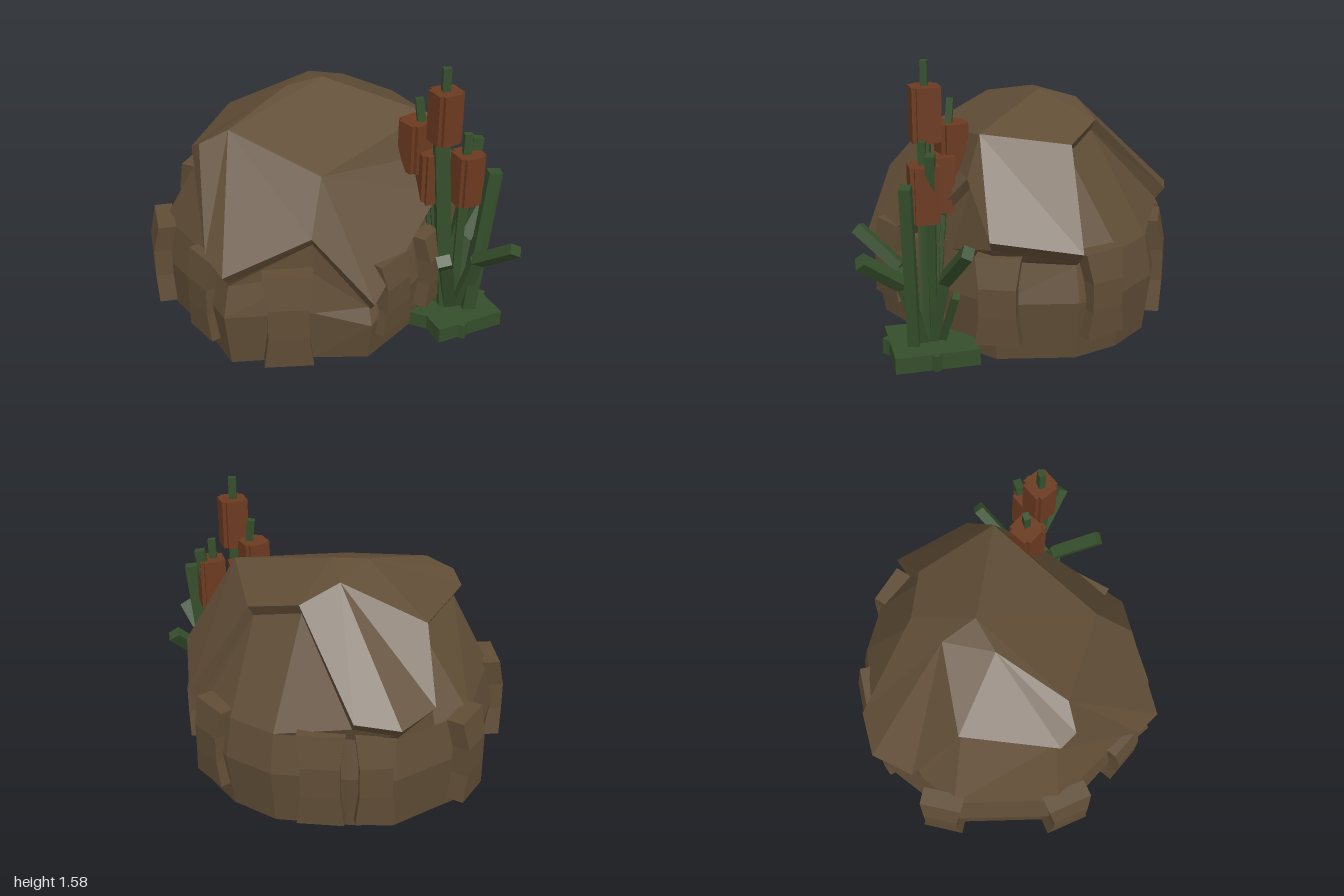
import * as THREE from 'three';

const mat = (name, color) => {
  const m = new THREE.MeshStandardMaterial({ color, flatShading: true, side: THREE.DoubleSide });
  m.name = name;
  return m;
};

export function createModel() {
  const rock = mat('rock brown', 0x604d36);
  const reed = mat('reed green', 0x354e2b);
  const rust = mat('cattail rust', 0x6b3a20);
  const root = new THREE.Group();
  root.name = 'boulderWithReeds';

  const add = (geometry, material, name, parent = root) => {
    const m = new THREE.Mesh(geometry, material);
    m.name = name;
    parent.add(m);
    return m;
  };
  // Triangles from polygons, each fanned from its first corner
  const fromPolys = (polys) => {
    const pos = [];
    for (const p of polys)
      for (let i = 1; i < p.length - 1; i++) pos.push(...p[0], ...p[i], ...p[i + 1]);
    const g = new THREE.BufferGeometry();
    g.setAttribute('position', new THREE.Float32BufferAttribute(pos, 3));
    g.computeVertexNormals();
    return g;
  };
  const band = (low, high) => low.map((p, i) => {
    const j = (i + 1) % low.length;
    return [p, low[j], high[j], high[i]];
  });

  // Zigzag rim of the upper shell, from front left round to the back
  const rim = [
    [-0.62, 0.60, 0.77], [-0.15, 0.80, 0.77], [0.17, 0.43, 0.88], [0.62, 0.80, 0.38],
    [0.66, 0.97, 0.23], [0.88, 0.70, 0.10], [0.82, 0.62, -0.38], [0.48, 1.11, -0.31],
    [0.20, 1.18, -0.44], [-0.08, 0.70, -0.86], [-0.33, 0.67, -0.88], [-0.52, 0.70, -0.70],
    [-0.49, 1.05, -0.40], [-0.73, 1.04, 0.10], [-0.70, 0.65, 0.62],
  ];
  const inner = rim.map(([x, y, z]) => [x * 0.94, y - 0.06, z * 0.94]);
  const A = [0.03, 1.315, -0.12], B = [-0.18, 1.29, -0.08], C = [-0.53, 1.18, 0.21];
  const D = [-0.07, 1.05, 0.56], E = [0.58, 1.19, 0.17];
  const F = [-0.69, 1.10, 0.20], G = [-0.02, 1.26, -0.33];
  const r = (...ids) => ids.map((i) => rim[i]);
  add(fromPolys([
    [A, B, C, D, E],
    [A, E, ...r(7, 8)],
    [B, ...r(12, 13), F, C],
    [G, ...r(8, 9, 10, 11, 12), B, A, rim[8]],
    [C, F, ...r(14, 0, 1), D],
    [F, ...r(13, 14)],
    [D, ...r(1, 2, 3, 4), E],
    [E, ...r(4, 5, 6, 7)],
    ...band(inner, rim),
  ]), rock, 'upperShell');

  // Lower body hangs from the inner rim, one column per rim point
  const foot = [
    [-0.62, 0.75], [-0.14, 0.77], [0.17, 0.81], [0.48, 0.53], [0.63, 0.34],
    [0.81, 0.08], [0.77, -0.36], [0.61, -0.59], [0.36, -0.76], [-0.06, -0.82],
    [-0.32, -0.83], [-0.55, -0.68], [-0.76, -0.55], [-0.95, 0.05], [-0.74, 0.45],
  ];
  const shoulder = foot.map(([x, z], i) => [x * 0.95, Math.min(0.56, inner[i][1] - 0.03), z * 0.95]);
  const bulge = foot.map(([x, z], i) => [x, Math.min(0.33, shoulder[i][1] - 0.1), z]);
  const base = foot.map(([x, z]) => [x * 0.95, 0, z * 0.95]);
  add(fromPolys([
    ...band(shoulder, inner), ...band(bulge, shoulder), ...band(base, bulge),
    [[0, 0, 0], ...[...base, base[0]].reverse()],
  ]), rock, 'lowerBody');

  // Waisted stone slabs bent over the lower body: x, z, bottom, top, width, outward x, outward z
  const slabs = [
    [-0.28, 0.79, 0.03, 0.60, 0.27, -0.06, 1],
    [-0.71, 0.53, 0.10, 0.60, 0.22, -0.85, 0.5],
    [-0.94, 0.10, 0.10, 0.60, 0.26, -1, 0.08],
    [-0.72, -0.60, 0.10, 0.60, 0.24, -0.8, -0.5],
    [-0.20, -0.80, 0.05, 0.60, 0.22, -0.1, -1],
    [0.09, -0.80, 0.05, 0.60, 0.26, 0.12, -1],
    [0.69, -0.48, 0.13, 0.60, 0.24, 0.75, -0.6],
    [0.82, 0.06, 0.12, 0.60, 0.24, 1, 0.1],
    [0.56, 0.47, 0.15, 0.60, 0.20, 0.75, 0.65],
    [0.30, 0.70, 0.16, 0.60, 0.24, 0.65, 0.75],
  ];
  const stones = new THREE.Group();
  stones.name = 'sideStones';
  root.add(stones);
  for (const [x, z, y0, y1, w, ox, oz] of slabs) {
    const g = new THREE.BoxGeometry(w, y1 - y0, 0.1, 1, 3, 1);
    const p = g.attributes.position;
    for (let i = 0; i < p.count; i++) {
      const t = (2 * p.getY(i)) / (y1 - y0);
      p.setX(i, p.getX(i) * (0.8 + 0.2 * t * t));
      p.setZ(i, p.getZ(i) - (t > 0.9 ? 0.035 : 0) - (t < -0.9 ? 0.01 : 0));
    }
    const m = add(g, rock, 'sideStone', stones);
    m.position.set(x, (y0 + y1) / 2, z);
    m.rotation.y = Math.atan2(ox, oz);
  }

  // Reed clump on its grassy pad of two crossed slabs
  const plant = new THREE.Group();
  plant.name = 'reeds';
  root.add(plant);
  [[0.71, 0.43, 0.41, 0.45, 0.3, 0.09], [0.69, 0.44, 0.38, 0.34, 1.0, 0.088]].forEach(([x, z, w, d, turn, h]) => {
    const pad = add(new THREE.BoxGeometry(w, h, d), reed, 'grassPad', plant);
    pad.position.set(x, h / 2, z);
    pad.rotation.y = turn;
  });
  const strut = (a, b, w, name) => {
    const p = new THREE.Vector3(...a), q = new THREE.Vector3(...b);
    const m = add(new THREE.BoxGeometry(w, p.distanceTo(q), w * 0.8), reed, name, plant);
    m.position.copy(p).add(q).multiplyScalar(0.5);
    m.quaternion.setFromUnitVectors(new THREE.Vector3(0, 1, 0), q.sub(p).normalize());
  };
  // Cattail stems
  strut([0.60, 1.10, 0.45], [0.60, 1.58, 0.45], 0.045, 'stem');
  strut([0.64, 0.05, 0.42], [0.49, 1.36, 0.33], 0.045, 'stem');
  strut([0.72, 0.05, 0.45], [0.74, 1.19, 0.45], 0.045, 'stem');
  strut([0.66, 0.05, 0.42], [0.55, 1.06, 0.39], 0.045, 'stem');
  // Straight blades
  strut([0.67, 0.05, 0.46], [0.59, 1.16, 0.46], 0.08, 'blade');
  strut([0.65, 0.05, 0.43], [0.81, 1.14, 0.40], 0.06, 'blade');
  strut([0.79, 0.05, 0.51], [0.88, 0.99, 0.52], 0.075, 'blade');
  strut([0.70, 0.05, 0.38], [0.82, 0.38, 0.28], 0.05, 'blade');
  // Bent leaves: foot, knee, tip
  [
    [[0.70, 0.06, 0.46], [0.62, 0.46, 0.60], [0.54, 0.65, 0.84]],
    [[0.72, 0.06, 0.42], [0.79, 0.46, 0.34], [0.97, 0.68, 0.20]],
    [[0.74, 0.06, 0.46], [0.81, 0.44, 0.56], [0.96, 0.62, 0.75]],
  ].forEach(([a, b, c]) => {
    strut(a, b, 0.07, 'leafLower');
    strut(b, c, 0.075, 'leafTip');
  });
  // Seed heads with notched corners: x, bottom, top, z, turn
  const half = 0.077, notch = 0.055;
  const cross = new THREE.Shape([
    [half, -notch], [half, notch], [notch, notch], [notch, half], [-notch, half], [-notch, notch],
    [-half, notch], [-half, -notch], [-notch, -notch], [-notch, -half], [notch, -half], [notch, -notch],
  ].map(([x, y]) => new THREE.Vector2(x, y)));
  [
    [0.605, 1.16, 1.45, 0.45, 0.35],
    [0.48, 0.94, 1.23, 0.33, 0.5],
    [0.75, 0.77, 1.07, 0.445, 0.3],
    [0.56, 0.77, 1.07, 0.385, 0.2],
  ].forEach(([x, y0, y1, z, turn]) => {
    const g = new THREE.ExtrudeGeometry(cross, { depth: y1 - y0, bevelEnabled: false });
    g.rotateX(-Math.PI / 2);
    const m = add(g, rust, 'seedHead', plant);
    m.position.set(x, y0, z);
    m.rotation.y = turn;
  });

  return root;
}
